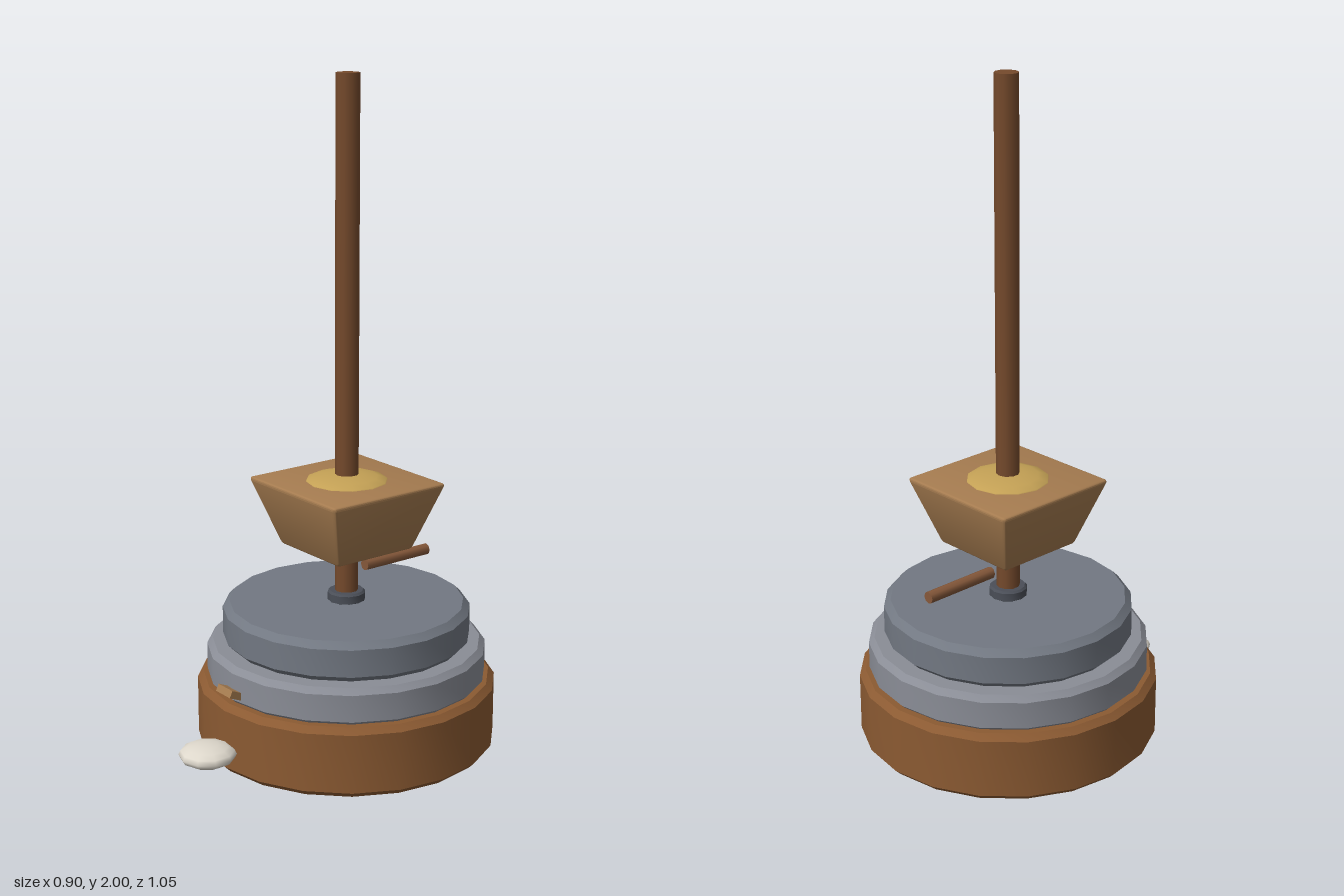
import * as THREE from 'three';
import { toCreasedNormals } from 'three/addons/utils/BufferGeometryUtils.js';
import { RoundedBoxGeometry } from 'three/addons/geometries/RoundedBoxGeometry.js';

const AXIS_Z = -0.075; // the mill's vertical axis

export function createModel() {
  const model = new THREE.Group();
  model.name = 'handMill';

  const add = (name, geometry, color, x, y, z) => {
    const mesh = new THREE.Mesh(geometry, new THREE.MeshStandardMaterial({ color }));
    mesh.name = name;
    mesh.position.set(x, y, z);
    model.add(mesh);
    return mesh;
  };

  // Solid disc with chamfered rims
  const disc = (name, r, y0, y1, bevel, sides, color) => {
    const h = y1 - y0;
    const profile = [[0, 0], [r - bevel, 0], [r, bevel], [r, h - bevel], [r - bevel, h], [0, h]]
      .map(([x, y]) => new THREE.Vector2(x, y));
    const geometry = toCreasedNormals(new THREE.LatheGeometry(profile, sides), 0.7);
    return add(name, geometry, color, 0, y0, AXIS_Z);
  };

  // Wooden base and the two grinding stones
  disc('base', 0.45, 0, 0.213, 0.018, 20, 0x8b5a32);
  disc('lowerStone', 0.42, 0.205, 0.32, 0.017, 20, 0x8a8d96);
  disc('upperStone', 0.372, 0.318, 0.44, 0.02, 20, 0x727882);
  disc('collar', 0.057, 0.435, 0.47, 0.006, 12, 0x4a4e57);

  // Central post
  const post = new THREE.CylinderGeometry(0.035, 0.035, 1.57, 10);
  add('post', post, 0x754a2c, 0, 1.215, AXIS_Z);

  // Hopper: a rounded block tapering towards the bottom
  const hopper = new RoundedBoxGeometry(0.42, 0.207, 0.42, 2, 0.012);
  const p = hopper.attributes.position;
  for (let i = 0; i < p.count; i++) {
    const s = THREE.MathUtils.mapLinear(p.getY(i), -0.1035, 0.1035, 0.66, 1);
    p.setX(i, p.getX(i) * s);
    p.setZ(i, p.getZ(i) * s);
  }
  hopper.computeVertexNormals();
  add('hopper', toCreasedNormals(hopper, 0.6), 0xa67c50, 0, 0.7085, AXIS_Z);

  // Grain heaped in the hopper
  const grain = add('grain', new THREE.SphereGeometry(0.13, 12, 8), 0xc4a155, 0, 0.803, AXIS_Z);
  grain.scale.y = 0.23;

  // Turning handle behind the post
  const handle = add('handle', new THREE.CylinderGeometry(0.018, 0.018, 0.243, 8), 0x85583a, 0, 0.532, -0.266);
  handle.rotation.x = Math.PI / 2;

  // Spout tilted out of the lower stone
  const spout = add('spout', new THREE.BoxGeometry(0.07, 0.022, 0.12), 0xa67c50, 0, 0.233, 0.32);
  spout.rotation.x = -0.42;

  // Small pile of flour in front of the base
  const flour = add('flour', new THREE.SphereGeometry(0.085, 10, 8), 0xded8cc, 0, 0.077, 0.436);
  flour.rotation.y = Math.PI / 2;
  flour.scale.y = 0.38;

  return model;
}
